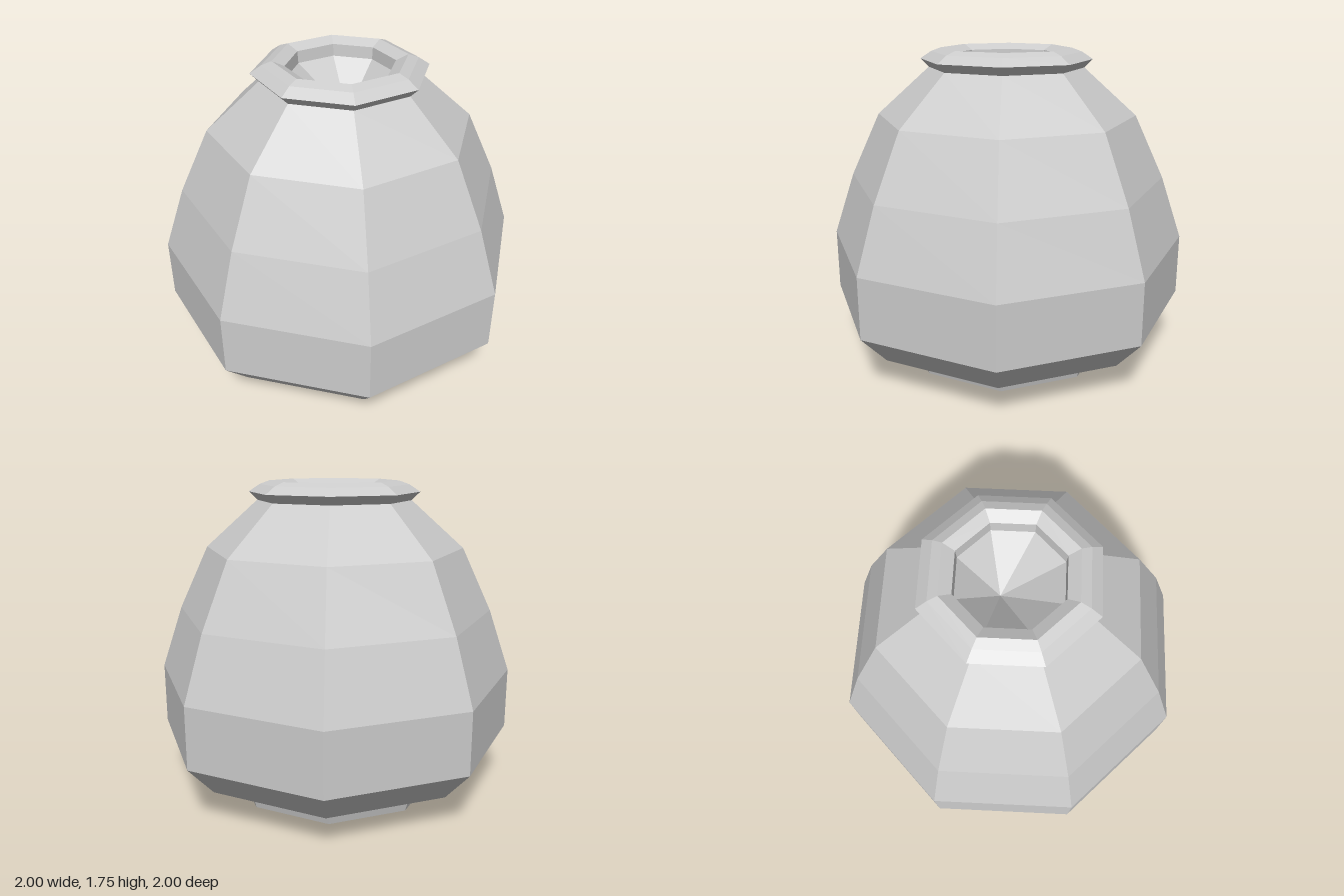
import * as THREE from 'three';

const SIDES = 8;

function ring(name, profile, material) {
  const points = profile.map(([r, y]) => new THREE.Vector2(r, y));
  const mesh = new THREE.Mesh(new THREE.LatheGeometry(points, SIDES), material);
  mesh.name = name;
  return mesh;
}

export function createModel() {
  const group = new THREE.Group();
  group.name = 'pot';
  const material = new THREE.MeshStandardMaterial({
    color: 0xcccccc, flatShading: true, side: THREE.DoubleSide,
  });

  // Recessed foot, listed from the middle of the underside outwards
  group.add(ring('foot', [[0, 0.06], [0.41, 0.06], [0.47, 0], [0.58, 0], [0.6, 0.07]], material));

  // Faceted belly, widest low down and narrowing to the neck
  group.add(ring('body', [
    [0.6, 0.07], [0.85, 0.18], [1, 0.35], [1, 0.69],
    [0.88, 1.04], [0.715, 1.39], [0.425, 1.65],
  ], material));

  // Flared collar with a bevelled top
  group.add(ring('rim', [
    [0.425, 1.65], [0.47, 1.695], [0.41, 1.735], [0.355, 1.755], [0.29, 1.725],
  ], material));

  // Sunken hollow whose lowest point sits slightly off centre
  const hollow = ring('hollow', [[0.29, 1.725], [0.285, 1.66], [0, 1.42]], material);
  const pos = hollow.geometry.attributes.position;
  for (let i = 0; i < pos.count; i++) {
    if (pos.getY(i) < 1.5) pos.setXYZ(i, 0.04, 1.42, -0.04);
  }
  group.add(hollow);

  return group;
}
